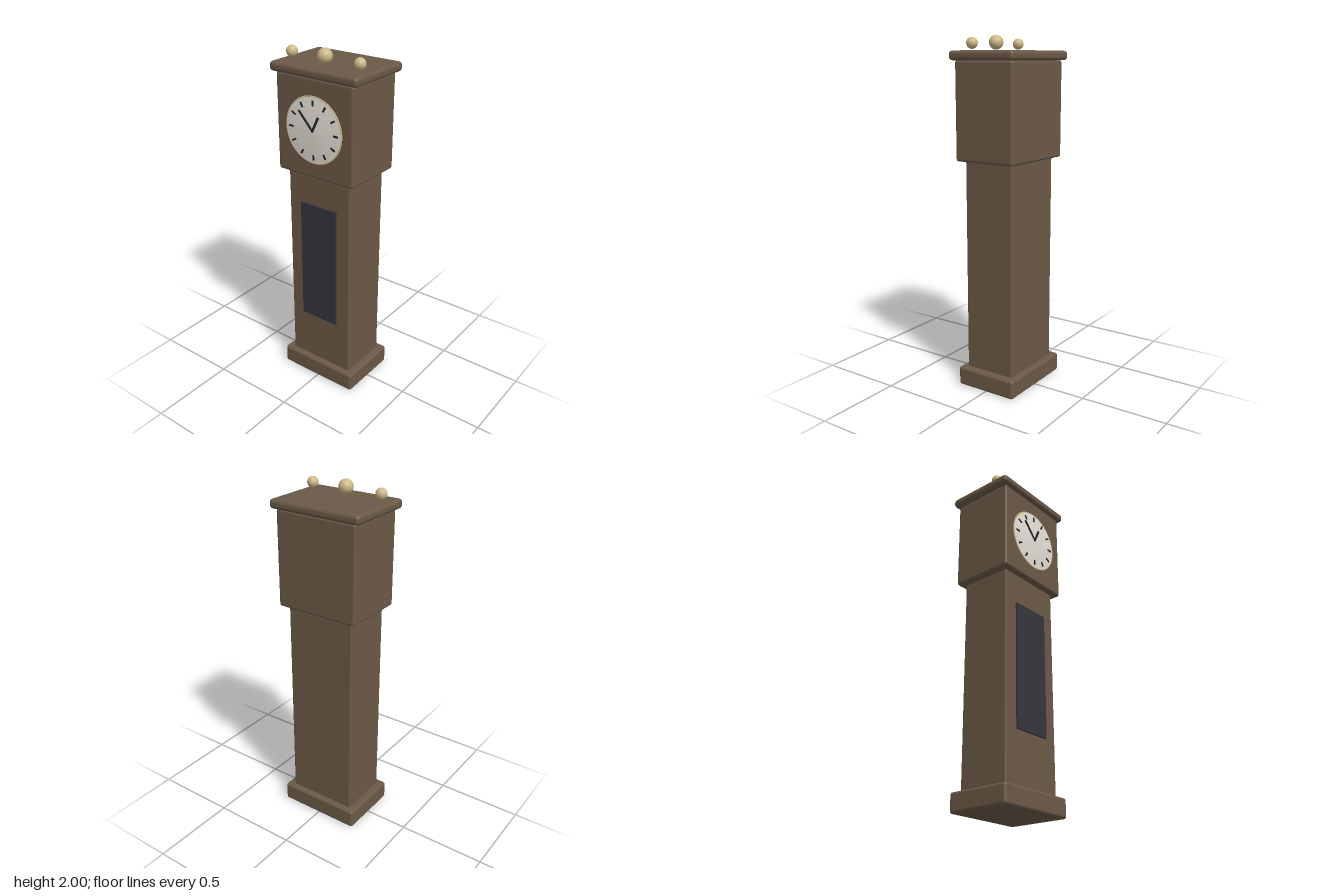
import * as THREE from 'three';
import { RoundedBoxGeometry } from 'three/addons/geometries/RoundedBoxGeometry.js';

export function createModel() {
  const group = new THREE.Group();
  group.name = 'longcaseClock';

  const makeMaterial = (name, color) => {
    const m = new THREE.MeshStandardMaterial({ color });
    m.name = name;
    return m;
  };
  const wood = makeMaterial('wood', 0x6b5947);
  const brass = makeMaterial('brass', 0xcdb987);
  const ivory = makeMaterial('ivory', 0xe6e2d9);
  const black = makeMaterial('black', 0x20232b);
  const glass = makeMaterial('darkGlass', 0x36353d);

  const add = (name, geometry, material, x = 0, y = 0, z = 0, parent = group) => {
    const mesh = new THREE.Mesh(geometry, material);
    mesh.name = name;
    mesh.position.set(x, y, z);
    parent.add(mesh);
    return mesh;
  };

  // Case: rounded boxes from y0 to y1
  const box = (name, w, y0, y1, d, r) =>
    add(name, new RoundedBoxGeometry(w, y1 - y0, d, 3, r), wood, 0, (y0 + y1) / 2, 0);
  box('plinth', 0.5, 0, 0.11, 0.376, 0.015);
  box('trunk', 0.414, 0.09, 1.34, 0.304, 0.008);
  box('hood', 0.5, 1.32, 1.865, 0.376, 0.015);
  box('cornice', 0.56, 1.863, 1.915, 0.416, 0.02);

  // Door glass
  add('doorPanel', new THREE.BoxGeometry(0.244, 0.73, 0.01), glass, 0, 0.775, 0.157);

  // Ball finials
  for (const [x, y, r] of [[-0.218, 1.953, 0.031], [0, 1.96, 0.04], [0.218, 1.953, 0.031]])
    add('finial', new THREE.SphereGeometry(r, 32, 20), brass, x, y, 0.09);

  // Clock face, local z = 0 on the front of the hood
  const face = new THREE.Group();
  face.name = 'clockFace';
  face.position.set(0, 1.59, 0.188);
  group.add(face);

  // Shallow domed dial with a soft rim
  const profile = [[0.18, -0.006], [0.18, 0.004], [0, 0.011]]
    .map(([r, h]) => new THREE.Vector2(r, h));
  add('dial', new THREE.LatheGeometry(profile, 64).rotateX(Math.PI / 2), ivory, 0, 0, 0, face);
  add('bezel', new THREE.TorusGeometry(0.181, 0.004, 8, 64), brass, 0, 0, 0.001, face);

  // Radial bars: hour marks and hands, measured clockwise from twelve
  const bar = (name, angle, from, to, width, z) => {
    const geometry = new THREE.BoxGeometry(width, to - from, 0.006);
    geometry.translate(0, (from + to) / 2, 0);
    add(name, geometry, black, 0, 0, z, face).rotation.z = -angle;
  };
  for (let i = 0; i < 12; i++) bar('hourMark', i * Math.PI / 6, 0.133, 0.162, 0.01, 0.006);
  bar('hourHand', 0.44, -0.005, 0.088, 0.012, 0.0115);
  bar('minuteHand', -0.74, -0.005, 0.131, 0.01, 0.013);

  return group;
}
